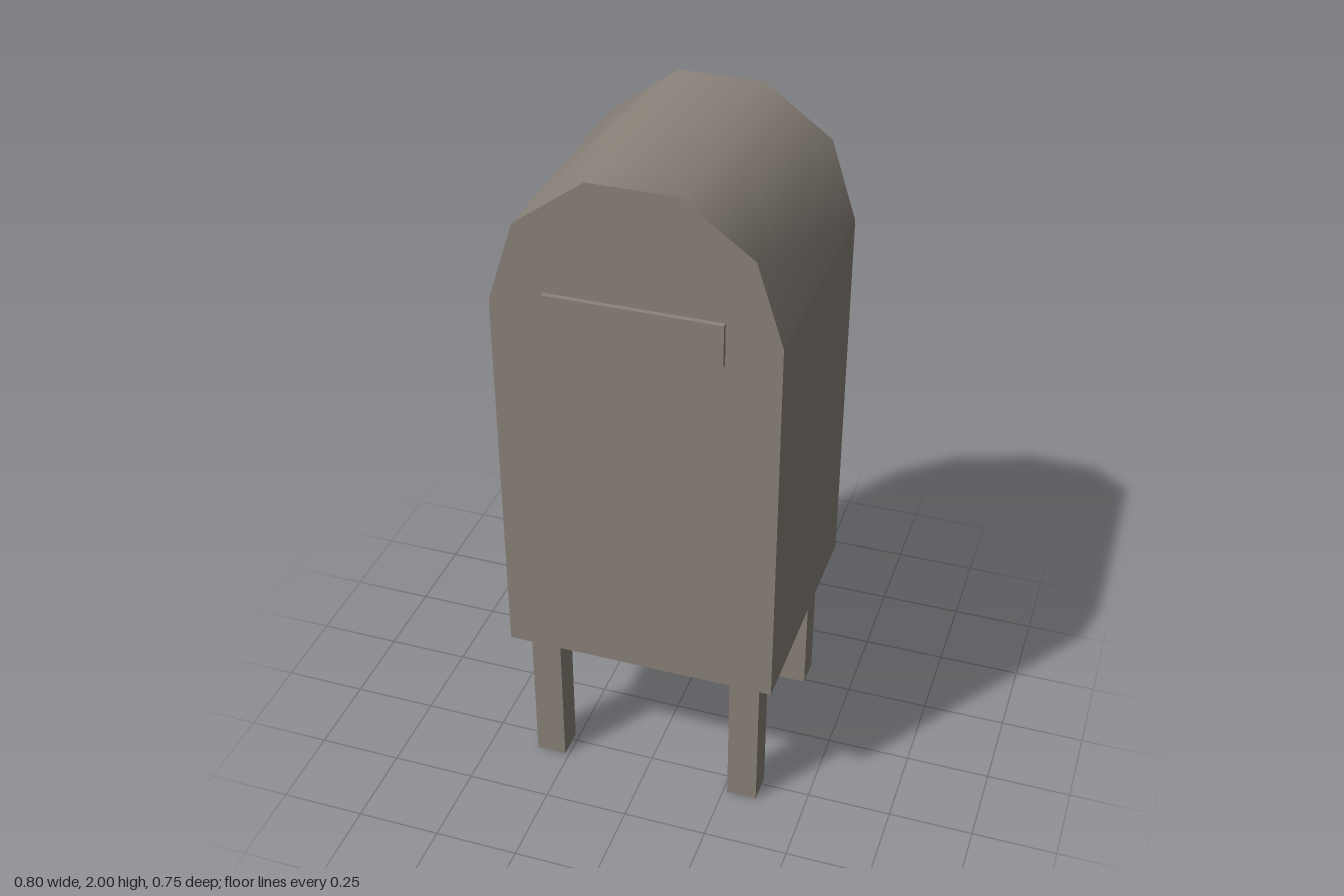
import * as THREE from 'three';

const WIDTH = 0.8, BOTTOM = 0.47, SPRING = 1.62, FRONT = 0.36, BACK = -0.375;

// Band that sweeps a clockwise front outline from the front to the back
function band(points) {
  const n = points.length;
  const geometry = new THREE.PlaneGeometry(1, 1, n - 1, 1);
  const position = geometry.attributes.position;
  points.forEach((p, i) => {
    position.setXYZ(i, p.x, p.y, BACK);
    position.setXYZ(n + i, p.x, p.y, FRONT);
  });
  geometry.computeVertexNormals();
  return geometry;
}

export function createModel() {
  const model = new THREE.Group();
  model.name = 'mailbox';
  const paint = new THREE.MeshStandardMaterial({ color: 0x8a8279 });
  paint.name = 'warm grey paint';

  const add = (name, geometry, x = 0, y = 0, z = 0) => {
    const mesh = new THREE.Mesh(geometry, paint);
    mesh.name = name;
    mesh.position.set(x, y, z);
    model.add(mesh);
    return mesh;
  };

  // Five-sided arch, from the right edge over the top to the left edge
  const r = WIDTH / 2;
  const arch = Array.from({ length: 6 }, (_, i) => {
    const a = Math.PI * (1 - i / 5);
    return new THREE.Vector2(r * Math.cos(a), SPRING + r * Math.sin(a));
  });
  const lowRight = new THREE.Vector2(-r, BOTTOM);
  const lowLeft = new THREE.Vector2(r, BOTTOM);

  // Smooth roof, flat walls and floor
  add('roof', band(arch));
  add('rightWall', band([lowRight, arch[0]]));
  add('leftWall', band([arch[5], lowLeft]));
  add('floor', band([lowLeft, lowRight]));

  // Arched end panels
  const panel = new THREE.ShapeGeometry(new THREE.Shape([lowRight, lowLeft, ...arch.slice().reverse()]));
  add('frontPanel', panel, 0, 0, FRONT);
  add('backPanel', panel, 0, 0, BACK).rotation.y = Math.PI;

  // Raised letter flap
  add('letterFlap', new THREE.BoxGeometry(0.494, 0.122, 0.015), 0, 1.607, FRONT + 0.0075);

  // Four square legs
  const leg = new THREE.BoxGeometry(0.09, BOTTOM, 0.09);
  for (const [side, x] of [['Right', -0.308], ['Left', 0.308]]) {
    add('front' + side + 'Leg', leg, x, BOTTOM / 2, 0.27);
    add('back' + side + 'Leg', leg, x, BOTTOM / 2, -0.285);
  }
  return model;
}
